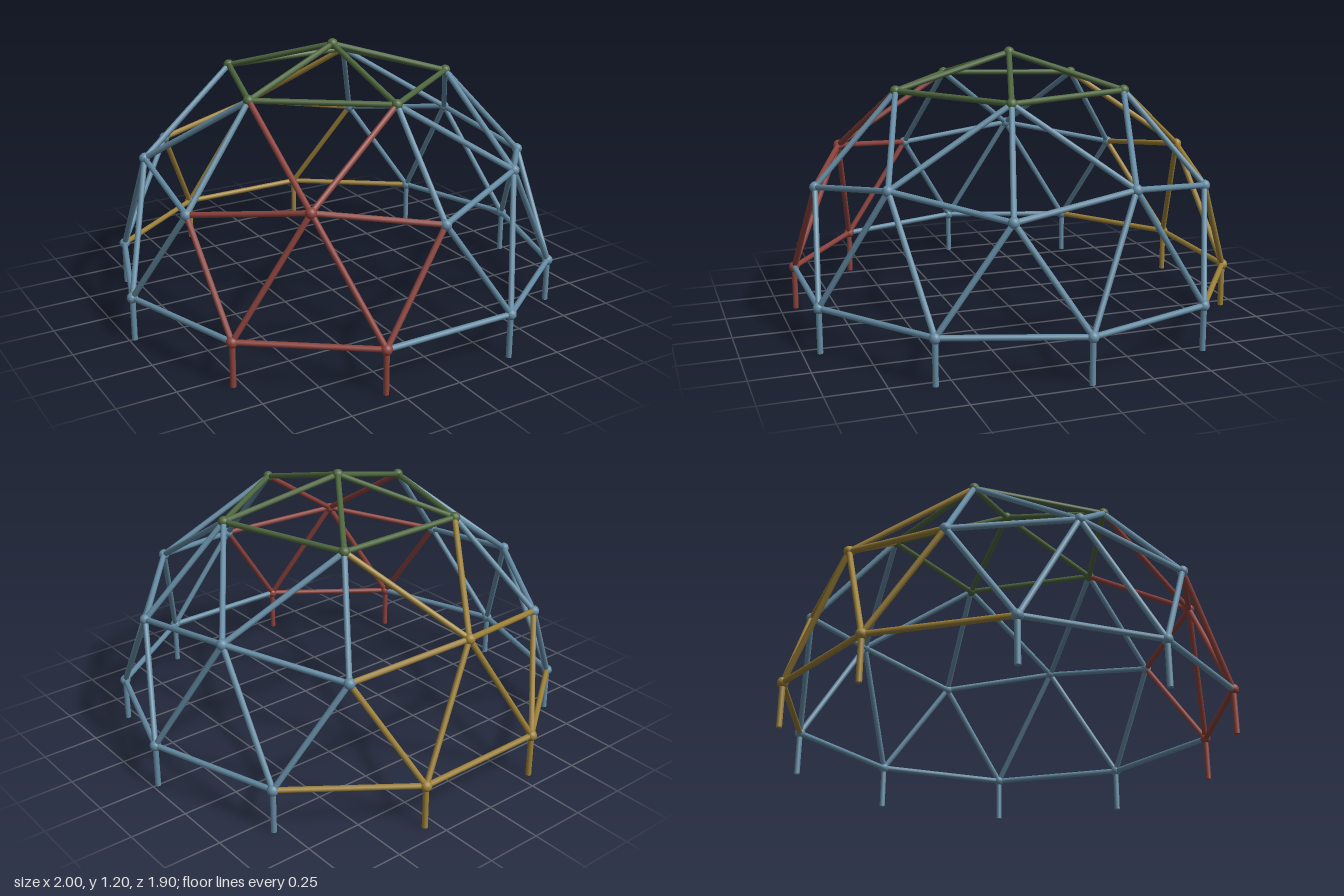
import * as THREE from 'three';

export function createModel() {
  const dome = new THREE.Group();
  dome.name = 'climbingDome';

  const paint = (name, color) => {
    const m = new THREE.MeshStandardMaterial({ color });
    m.name = name;
    return m;
  };
  const blue = paint('blue', 0x648ba3);
  const red = paint('red', 0x8c423c);
  const gold = paint('gold', 0x9c8038);
  const green = paint('green', 0x4f683f);

  const R = 0.976, BASE = 0.195, BAR = 0.0125, KNOB = 0.024;
  const ballGeo = new THREE.SphereGeometry(KNOB, 14, 10);
  const barGeo = new THREE.CylinderGeometry(BAR, BAR, 1, 10);

  // Point on the dome; azimuth runs from the front (+z) towards +x
  const point = (polar, azimuth) => {
    const v = new THREE.Vector3().setFromSphericalCoords(
      R, THREE.MathUtils.degToRad(polar), THREE.MathUtils.degToRad(azimuth));
    v.y += BASE;
    return v;
  };
  const joint = (polar, azimuth, mat = blue) => {
    const p = point(polar, azimuth);
    const ball = new THREE.Mesh(ballGeo, mat);
    ball.name = 'joint';
    ball.position.copy(p);
    dome.add(ball);
    return { p, mat };
  };
  const bar = (a, b, mat, name) => {
    const d = b.clone().sub(a);
    const mesh = new THREE.Mesh(barGeo, mat);
    mesh.name = name;
    mesh.position.copy(a).addScaledVector(d, 0.5);
    mesh.scale.y = d.length();
    mesh.quaternion.setFromUnitVectors(new THREE.Vector3(0, 1, 0), d.normalize());
    dome.add(mesh);
  };
  // A strut takes the red or gold of either end, otherwise blue
  const strut = (a, b) => {
    const mat = [red, gold].find((m) => a.mat === m || b.mat === m) || blue;
    bar(a.p, b.p, mat, 'strut');
  };

  // Joints, ring by ring
  const five = [0, 1, 2, 3, 4];
  const apex = joint(0, 0, green);
  const crown = five.map((k) => joint(31.717, 72 * k, green));
  const lower = five.map((k) => joint(63.435, 72 * k));
  const upper = five.map((k) => joint(58.283, 72 * k + 36, k === 2 ? gold : k === 4 ? red : blue));
  const base = [...Array(10).keys()].map((i) =>
    joint(90, 36 * i + 18, i === 4 || i === 5 ? gold : i === 8 || i === 9 ? red : blue));

  five.forEach((k) => {
    const n = (k + 1) % 5;
    // Green cap
    bar(apex.p, crown[k].p, green, 'capSpoke');
    bar(crown[k].p, crown[n].p, green, 'capRing');
    // Shoulder triangles
    strut(crown[k], lower[k]);
    strut(crown[k], upper[k]);
    strut(crown[n], upper[k]);
    strut(lower[k], upper[k]);
    strut(lower[n], upper[k]);
    // Wall triangles
    strut(lower[k], base[2 * k]);
    strut(lower[k], base[(2 * k + 9) % 10]);
    strut(upper[k], base[2 * k]);
    strut(upper[k], base[2 * k + 1]);
  });

  // Base ring and legs
  base.forEach((a, i) => {
    const b = base[(i + 1) % 10];
    const isGold = a.mat === gold || b.mat === gold;
    const mat = isGold ? gold : a.mat === red && b.mat === red ? red : blue;
    bar(a.p, b.p, mat, 'baseRing');
    bar(new THREE.Vector3(a.p.x, 0, a.p.z), a.p, a.mat, 'leg');
  });

  return dome;
}
